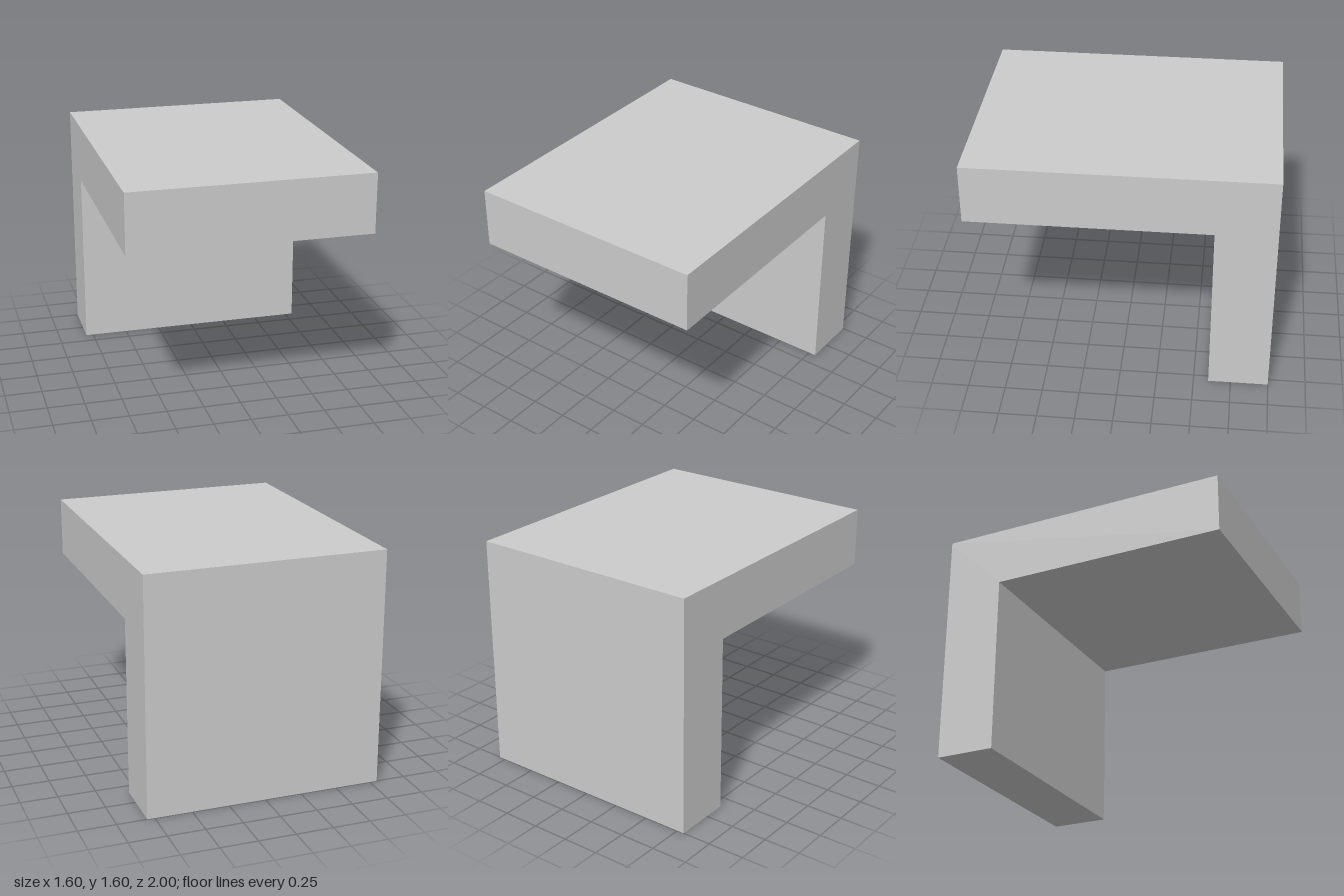
import * as THREE from 'three';

export function createModel() {
  const group = new THREE.Group();
  group.name = 'cantileverBracket';

  const width = 1.6, height = 1.6, depth = 2, thickness = 0.4;
  const front = -depth / 2, back = depth / 2; // profile x runs towards the back

  // Side profile: top slab overhanging forward from a rear upright
  const profile = new THREE.Shape([
    [back - thickness, 0],
    [back, 0],
    [back, height],
    [front, height],
    [front, height - thickness],
    [back - thickness, height - thickness],
  ].map(([x, y]) => new THREE.Vector2(x, y)));

  // Extrude across the width, then turn the profile so its +x points to -z
  const geometry = new THREE.ExtrudeGeometry(profile, { depth: width, bevelEnabled: false });
  geometry.translate(0, 0, -width / 2);
  geometry.rotateY(Math.PI / 2);

  const body = new THREE.Mesh(
    geometry,
    new THREE.MeshStandardMaterial({ color: 0xcccccc, flatShading: true })
  );
  body.name = 'slabAndUpright';
  group.add(body);

  return group;
}
